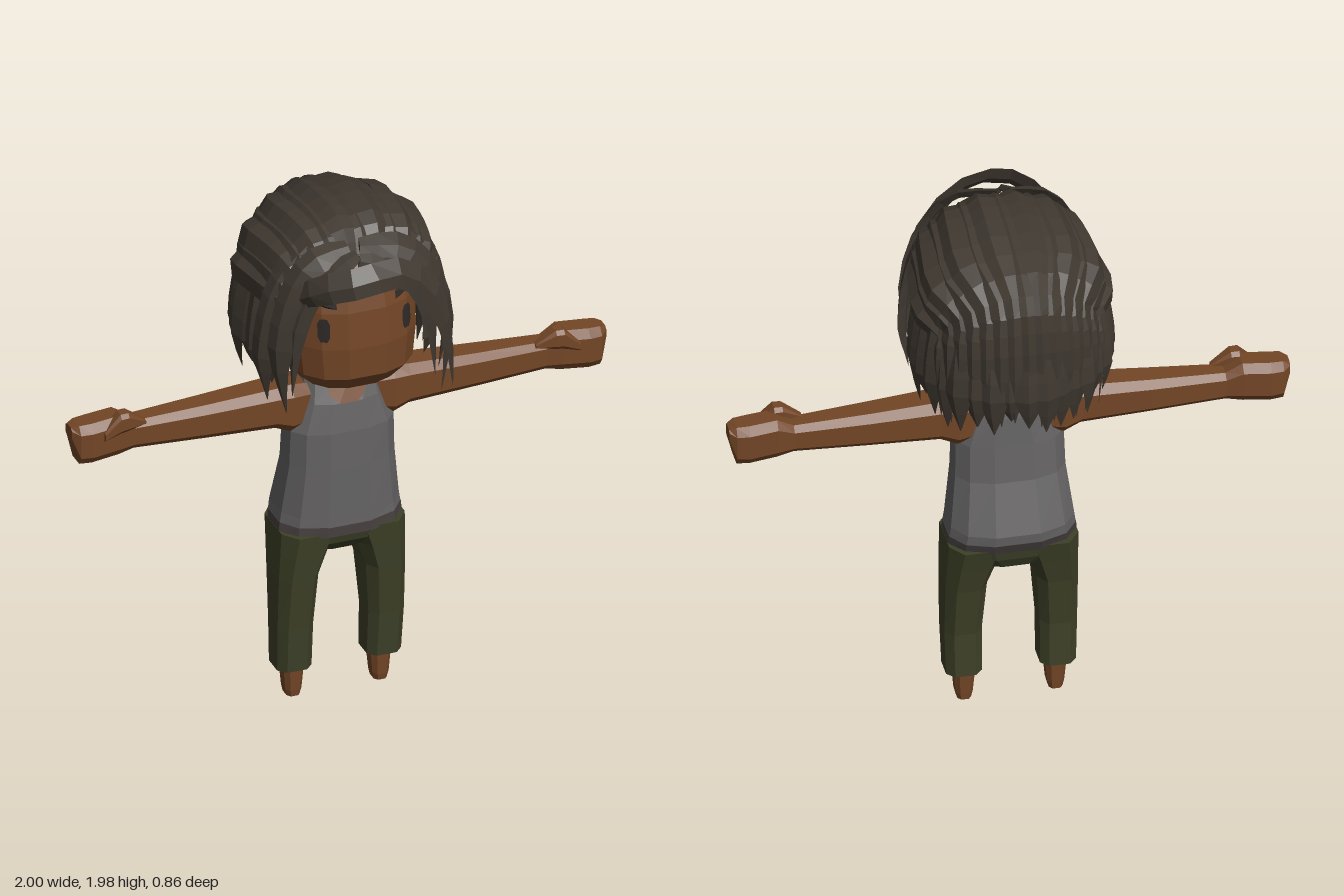
import * as THREE from 'three';
import { mergeGeometries } from 'three/addons/utils/BufferGeometryUtils.js';

const mat = (name, color, side = THREE.FrontSide) => {
  const m = new THREE.MeshStandardMaterial({ color, side, flatShading: true });
  m.name = name;
  return m;
};
const V = (x, y, z) => new THREE.Vector3(x, y, z);

// Faceted skin over a list of rings; each ring runs anticlockwise about the direction of travel
function loft(rings) {
  const pos = [], n = rings[0].length;
  const tri = (...p) => p.forEach(v => pos.push(v.x, v.y, v.z));
  for (let i = 0; i < rings.length - 1; i++) for (let j = 0; j < n; j++) {
    const k = (j + 1) % n, a = rings[i], b = rings[i + 1];
    tri(a[j], a[k], b[k]);
    tri(a[j], b[k], b[j]);
  }
  const first = rings[0], last = rings[rings.length - 1];
  for (let j = 1; j < n - 1; j++) {
    tri(first[0], first[j + 1], first[j]);
    tri(last[0], last[j], last[j + 1]);
  }
  return geometry(pos);
}
function geometry(pos) {
  const g = new THREE.BufferGeometry();
  g.setAttribute('position', new THREE.Float32BufferAttribute(pos, 3));
  g.computeVertexNormals();
  return g;
}
const pow = (v, n) => Math.sign(v) * Math.abs(v) ** (2 / n);

// Upright body from sections [y, half width, front z, back z]
const upright = (spec, n = 2.6, sides = 12, cx = () => 0) => loft(spec.map(([y, rx, zf, zb], r) =>
  Array.from({ length: sides }, (_, i) => {
    const t = (i + 0.5) / sides * Math.PI * 2;
    return V(cx(r) + rx * pow(Math.sin(t), n), y, (zf + zb) / 2 + (zf - zb) / 2 * pow(Math.cos(t), n));
  })));

// Front surface depth of an upright body, used to lay thin details on it
function frontZ(spec, x, y, n = 2.6) {
  let i = 0;
  while (i < spec.length - 2 && spec[i + 1][0] < y) i++;
  const a = spec[i], b = spec[i + 1], t = (y - a[0]) / (b[0] - a[0]);
  const [rx, zf, zb] = [1, 2, 3].map(k => a[k] + (b[k] - a[k]) * t);
  return (zf + zb) / 2 + (zf - zb) / 2 * Math.max(0, 1 - (Math.abs(x) / rx) ** n) ** (1 / n);
}
function decal(spec, cx, cy, outline) {
  const p = (x, y) => [x, y, frontZ(spec, x, y) + 0.007];
  const pos = [];
  outline.forEach(([x, y], i) => {
    const [u, v] = outline[(i + 1) % outline.length];
    pos.push(...p(cx, cy), ...p(cx + x, cy + y), ...p(cx + u, cy + v));
  });
  return geometry(pos);
}

// Tapered lock of hair with a ridged section, lying flat on the head
const headCentre = V(0, 1.6, -0.08);
function lock(points, halfWidth, thick = 0.025, steps = 9) {
  const curve = new THREE.CatmullRomCurve3(points);
  return loft(Array.from({ length: steps + 1 }, (_, i) => {
    const t = i / steps, p = curve.getPoint(t), T = curve.getTangent(t);
    const out = p.clone().sub(headCentre);
    out.addScaledVector(T, -out.dot(T)).normalize();
    const side = T.clone().cross(out);
    const taper = Math.max(0.03, Math.min(1, (1 - t) / 0.3, 0.6 + t * 3));
    const w = halfWidth * taper, h = thick * taper;
    return [[h, 0.15 * w], [0, w], [-h * 0.6, 0], [0, -w]].map(([o, s]) =>
      p.clone().addScaledVector(out, o).addScaledVector(side, s));
  }));
}

export function createModel() {
  const model = new THREE.Group();
  const skin = mat('skin', 0x734626), shirt = mat('shirt grey', 0x656363), hem = mat('hem', 0x484140);
  const olive = mat('trouser olive', 0x3e4128), hairMat = mat('hair', 0x403931, THREE.DoubleSide);
  const dark = mat('eye dark', 0x2e2927, THREE.DoubleSide);
  const add = (name, geo, m) => {
    const mesh = new THREE.Mesh(geo, m);
    mesh.name = name;
    model.add(mesh);
    return mesh;
  };
  let seed = 7;
  const rand = () => (seed = (seed * 16807) % 2147483647) / 2147483647;

  // Head and neck
  const head = [[1.3, 0.11, 0.12, -0.16], [1.335, 0.18, 0.2, -0.22], [1.4, 0.235, 0.255, -0.27],
    [1.52, 0.25, 0.26, -0.3], [1.66, 0.25, 0.25, -0.3], [1.78, 0.225, 0.22, -0.27], [1.88, 0.14, 0.13, -0.2]];
  add('head', upright(head, 2.6, 16), skin);
  add('neck', upright([[1.2, 0.085, 0.02, -0.12], [1.36, 0.075, 0.02, -0.11]], 2, 8), skin);

  // Eyes and brows
  for (const s of [-1, 1]) {
    const eye = Array.from({ length: 8 }, (_, i) => {
      const t = (i + 0.5) / 8 * Math.PI * 2;
      return [0.02 * pow(Math.cos(t), 3), 0.047 * pow(Math.sin(t), 3)];
    });
    add('eye', decal(head, s * 0.155, 1.6, eye), dark);
    add('brow', decal(head, s * 0.16, 1.695, [[-0.05, -0.014], [0.05, -0.014], [0.05, 0.014], [-0.05, 0.014]]), dark);
  }

  // Sleeveless shirt, its hem and the neckline
  const torso = [[0.72, 0.232, 0.09, -0.23], [0.76, 0.226, 0.09, -0.235], [0.95, 0.202, 0.088, -0.175],
    [1.09, 0.198, 0.085, -0.16], [1.2, 0.155, 0.07, -0.15], [1.285, 0.135, 0.035, -0.13]];
  add('shirt', upright(torso, 2.6, 12), shirt);
  add('shirtHem', upright([[0.68, 0.237, 0.088, -0.215], [0.722, 0.233, 0.09, -0.232]]), hem);
  add('neckline', decal(torso, 0, 1.265, [[-0.075, 0.018], [-0.068, -0.03], [-0.035, -0.062], [0.035, -0.062],
    [0.068, -0.03], [0.075, 0.018]]), skin);

  // Trousers: hips and two legs
  add('hips', upright([[0.6, 0.13, 0.03, -0.18], [0.645, 0.2, 0.07, -0.205], [0.69, 0.235, 0.083, -0.215]]), olive);
  const leg = [[0.125, 0.1, 0.235, 0.01, -0.135], [0.3, 0.1, 0.24, 0.03, -0.135], [0.5, 0.085, 0.24, 0.055, -0.165],
    [0.6, 0.05, 0.238, 0.07, -0.19], [0.69, 0.01, 0.236, 0.083, -0.215]];
  for (const s of [-1, 1]) {
    const sections = leg.map(([y, a, b, f, k]) => [y, (b - a) / 2, f, k]);
    add('trouserLeg', upright(sections, 3.2, 8, r => s * (leg[r][1] + leg[r][2]) / 2), olive);
    add('foot', upright([[0.005, 0.026, -0.03, -0.1], [0.03, 0.032, -0.025, -0.103], [0.14, 0.042, -0.018, -0.112]],
      3, 8, r => s * 0.163), skin);
  }

  // Arms with mitten hands and thumbs: sections [x, low y, high y, front z, back z]
  const arm = [[0.1, 1.1, 1.265, 0.02, -0.12], [0.19, 1.085, 1.28, 0.04, -0.135], [0.25, 1.11, 1.272, 0.035, -0.125],
    [0.5, 1.118, 1.255, 0.02, -0.115], [0.77, 1.127, 1.24, 0, -0.1], [0.83, 1.115, 1.275, 0.01, -0.11],
    [0.93, 1.103, 1.265, 0.012, -0.112], [0.975, 1.105, 1.262, 0.005, -0.105], [1, 1.2, 1.25, -0.02, -0.085]];
  const thumb = [[0.73, 1.225, 1.24, 0, -0.03], [0.8, 1.215, 1.29, 0.02, -0.045], [0.83, 1.21, 1.29, 0.022, -0.045],
    [0.89, 1.195, 1.23, 0.022, -0.02]];
  const limb = (sections, s) => {
    const rings = sections.map(([x, lo, hi, f, b]) => Array.from({ length: 8 }, (_, i) => {
      const t = (i + 0.5) / 8 * Math.PI * 2;
      return V(s * x, (lo + hi) / 2 + (hi - lo) / 2 * pow(Math.cos(t), 3.5), (f + b) / 2 + (f - b) / 2 * pow(Math.sin(t), 3.5));
    }));
    return loft(s < 0 ? rings.map(r => r.reverse()) : rings);
  };
  for (const s of [-1, 1]) {
    add('arm', limb(arm, s), skin);
    add('thumb', limb(thumb, s), skin);
  }

  // Scalp under the locks, tilted back to clear the face
  const scalp = add('scalp', new THREE.SphereGeometry(1, 14, 8, 0, Math.PI * 2, 0, Math.PI / 2), hairMat);
  scalp.scale.set(0.3, 0.32, 0.31);
  scalp.position.set(0, 1.62, -0.09);
  scalp.rotation.x = -0.5;

  // Crown locks sweep from the hairline over the top and down the back
  const crown = [];
  for (let i = -7; i <= 7; i++) {
    const phi = i / 7 * 1.42, s = Math.sin(phi), c = Math.cos(phi) ** 0.8;
    const u = Math.sin(phi * 0.7), w = Math.cos(phi * 0.7), lift = i % 2 ? 0.012 : 0;
    crown.push(lock([
      V(0.27 * s, 1.62 + 0.25 * c, 0.21), V(0.3 * s, 1.64 + 0.3 * c + lift, 0.14),
      V((0.315 + lift) * s, 1.64 + 0.32 * c + lift, 0), V((0.325 + lift) * s, 1.63 + 0.295 * c + lift, -0.2 + 0.05 * (1 - c)),
      V(0.32 * u, 1.6 + 0.25 * c, -0.08 - 0.29 * w), V(0.335 * u, 1.57 + 0.14 * c, -0.08 - 0.33 * w),
      V(0.345 * u, 1.48, -0.08 - 0.335 * w), V(0.335 * u, 1.3 + 0.07 * rand(), -0.08 - 0.315 * w),
    ], 0.052, 0.022, 16));
  }
  add('crownLocks', mergeGeometries(crown), hairMat);

  // Hanging locks around the sides and back
  const hanging = [];
  for (let i = -12; i <= 12; i++) {
    const a = i / 12 * 2.25, front = Math.max(0, Math.abs(a) - 1.5);
    const tip = 1.28 + 0.09 * rand() + front * 0.1, spread = 0.96 + 0.05 * rand();
    const at = (r, y) => V(0.33 * r * spread * Math.sin(a), y, -0.08 - 0.325 * r * spread * Math.cos(a));
    hanging.push(lock([at(0.93, 1.72), at(1.01, 1.6), at(1.05, 1.46), at(1, tip)], 0.055, 0.022, 6));
  }
  add('hangingLocks', mergeGeometries(hanging), hairMat);

  // Fringe: a loose swept lock in front, with locks framing both sides of the face
  const fringe = [
    [0.055, [-0.25, 1.74, 0.21], [-0.19, 1.82, 0.32], [-0.08, 1.86, 0.39], [0.07, 1.86, 0.365], [0.19, 1.76, 0.335], [0.27, 1.56, 0.32], [0.3, 1.33, 0.3]],
    [0.05, [-0.02, 1.91, 0.22], [0.14, 1.89, 0.25], [0.25, 1.75, 0.26], [0.3, 1.5, 0.25], [0.28, 1.28, 0.24]],
    [0.04, [-0.04, 1.88, 0.27], [0.1, 1.82, 0.28], [0.21, 1.66, 0.275], [0.25, 1.36, 0.26]],
    [0.05, [-0.06, 1.91, 0.22], [-0.2, 1.87, 0.22], [-0.28, 1.72, 0.21], [-0.31, 1.5, 0.2], [-0.28, 1.28, 0.19]],
    [0.035, [-0.04, 1.9, 0.26], [-0.17, 1.81, 0.26], [-0.25, 1.65, 0.24], [-0.27, 1.36, 0.22]],
    [0.05, [-0.18, 1.9, 0.15], [-0.29, 1.76, 0.14], [-0.34, 1.5, 0.12], [-0.32, 1.3, 0.11]],
    [0.05, [0.18, 1.9, 0.15], [0.29, 1.76, 0.14], [0.34, 1.5, 0.12], [0.32, 1.3, 0.11]],
  ];
  add('fringe', mergeGeometries(fringe.map(([w, ...p]) => lock(p.map(q => V(...q)), w, 0.02, 10))), hairMat);
  return model;
}
